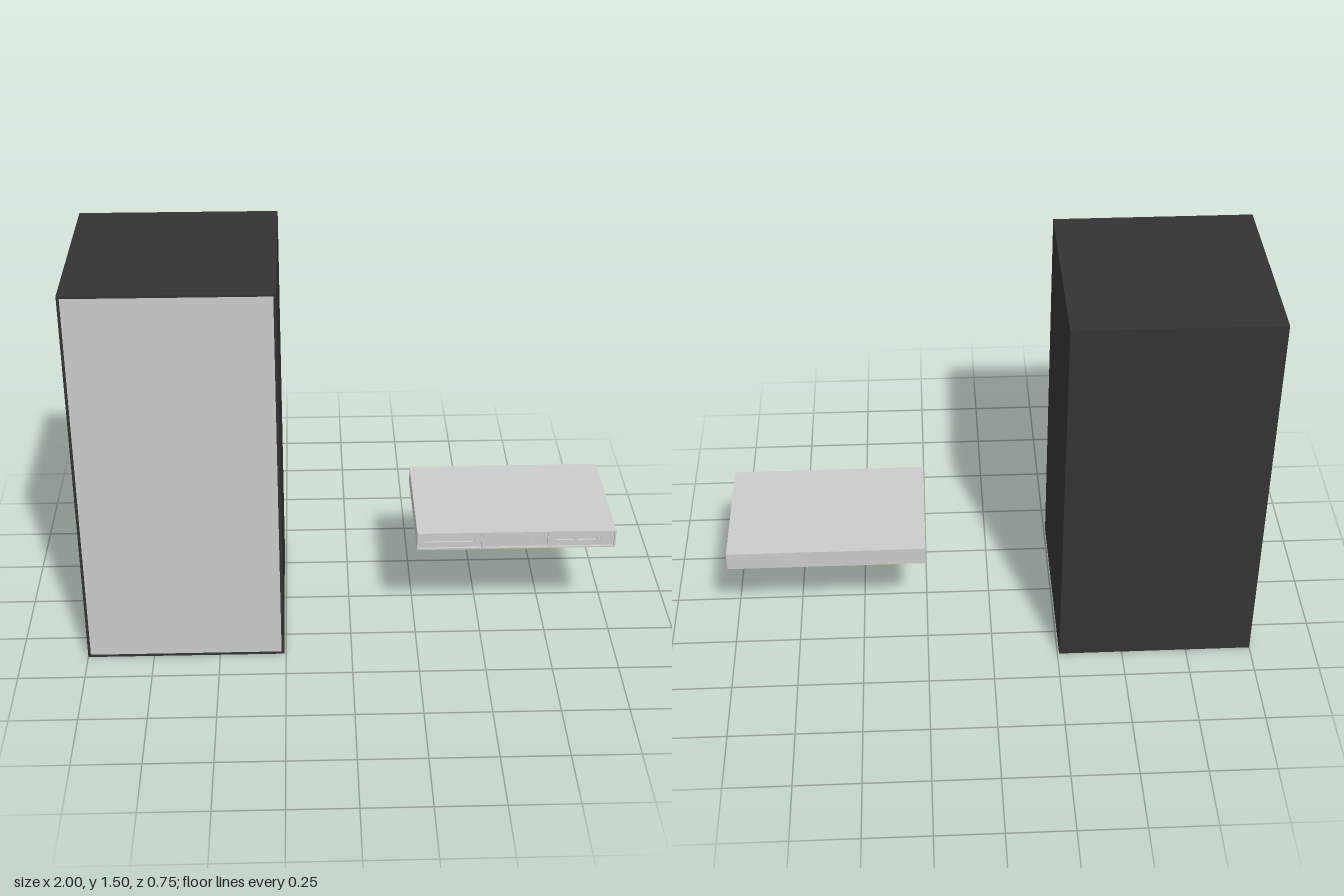
import * as THREE from 'three';

const grey = new THREE.MeshStandardMaterial({ color: 0xcccccc });
const dark = new THREE.MeshStandardMaterial({ color: 0x333333 });

// Adds a box given by its min and max corners
function box(parent, name, material, [x0, y0, z0], [x1, y1, z1]) {
  const mesh = new THREE.Mesh(new THREE.BoxGeometry(x1 - x0, y1 - y0, z1 - z0), material);
  mesh.position.set((x0 + x1) / 2, (y0 + y1) / 2, (z0 + z1) / 2);
  mesh.name = name;
  parent.add(mesh);
}

function trace(path, x0, y0, x1, y1) {
  path.moveTo(x0, y0);
  path.lineTo(x1, y0);
  path.lineTo(x1, y1);
  path.lineTo(x0, y1);
  path.closePath();
  return path;
}

// Slot outline with rounded ends
function slot(x0, x1, y, r) {
  const path = new THREE.Path();
  path.absarc(x1 - r, y, r, -Math.PI / 2, Math.PI / 2);
  path.absarc(x0 + r, y, r, Math.PI / 2, Math.PI * 1.5);
  path.closePath();
  return path;
}

// Rectangular plate with holes, from z to z + depth
function plate(parent, name, rect, holes, z, depth) {
  const shape = trace(new THREE.Shape(), ...rect);
  shape.holes.push(...holes);
  const geometry = new THREE.ExtrudeGeometry(shape, { depth, bevelEnabled: false, curveSegments: 8 });
  const mesh = new THREE.Mesh(geometry, grey);
  mesh.position.z = z;
  mesh.name = name;
  parent.add(mesh);
}

function createCabinet() {
  const cabinet = new THREE.Group();
  cabinet.name = 'cabinet';
  const [left, right, height, half, t] = [-1, -0.257, 1.5, 0.375, 0.01];
  box(cabinet, 'rightWall', dark, [left, 0, -half], [left + t, height, half]);
  box(cabinet, 'leftWall', dark, [right - t, 0, -half], [right, height, half]);
  box(cabinet, 'floorPanel', dark, [left + t, 0, -half], [right - t, t, half]);
  box(cabinet, 'roofPanel', dark, [left + t, height - t, -half], [right - t, height, half]);
  box(cabinet, 'backPanel', dark, [left + t, t, -half], [right - t, height - t, -half + t]);
  box(cabinet, 'frontPanel', grey, [left + t, t, half - t], [right - t, height - t, half - 0.001]);
  return cabinet;
}

function createDriveUnit() {
  const unit = new THREE.Group();
  unit.name = 'driveUnit';
  const [bottom, top, front, mid] = [0.378, 0.45, 0.25, 0.414];
  const recess = 0.008;
  const slotDepth = 0.008;
  const bays = [0.25, 0.501, 0.752];
  const width = 0.248;

  box(unit, 'casing', grey, [0.25, bottom, -front], [1, top, front - recess - slotDepth]);

  // Outer bezel, open around each of the three bays
  const openings = bays.map((x) => trace(new THREE.Path(), x + 0.006, bottom + 0.006, x + width - 0.006, top - 0.006));
  plate(unit, 'bezel', [0.25, bottom, 1, top], openings, front - recess - slotDepth, recess + slotDepth);

  // Recessed bay faces with their slots and indicator holes
  const cuts = [
    [[0.276, 0.466, 0.008]],
    [[0.684, 0.692, 0.004]],
    [[0.777, 0.846, 0.007], [0.854, 0.932, 0.007], [0.936, 0.944, 0.004]],
  ];
  bays.forEach((x, i) => {
    const holes = cuts[i].map(([a, b, r]) => slot(a, b, mid, r));
    plate(unit, 'bayFace' + (i + 1), [x + 0.006, bottom + 0.006, x + width - 0.006, top - 0.006],
      holes, front - recess - slotDepth, slotDepth);
  });
  return unit;
}

export function createModel() {
  const model = new THREE.Group();
  model.name = 'cabinetAndDriveUnit';
  model.add(createCabinet(), createDriveUnit());
  return model;
}
